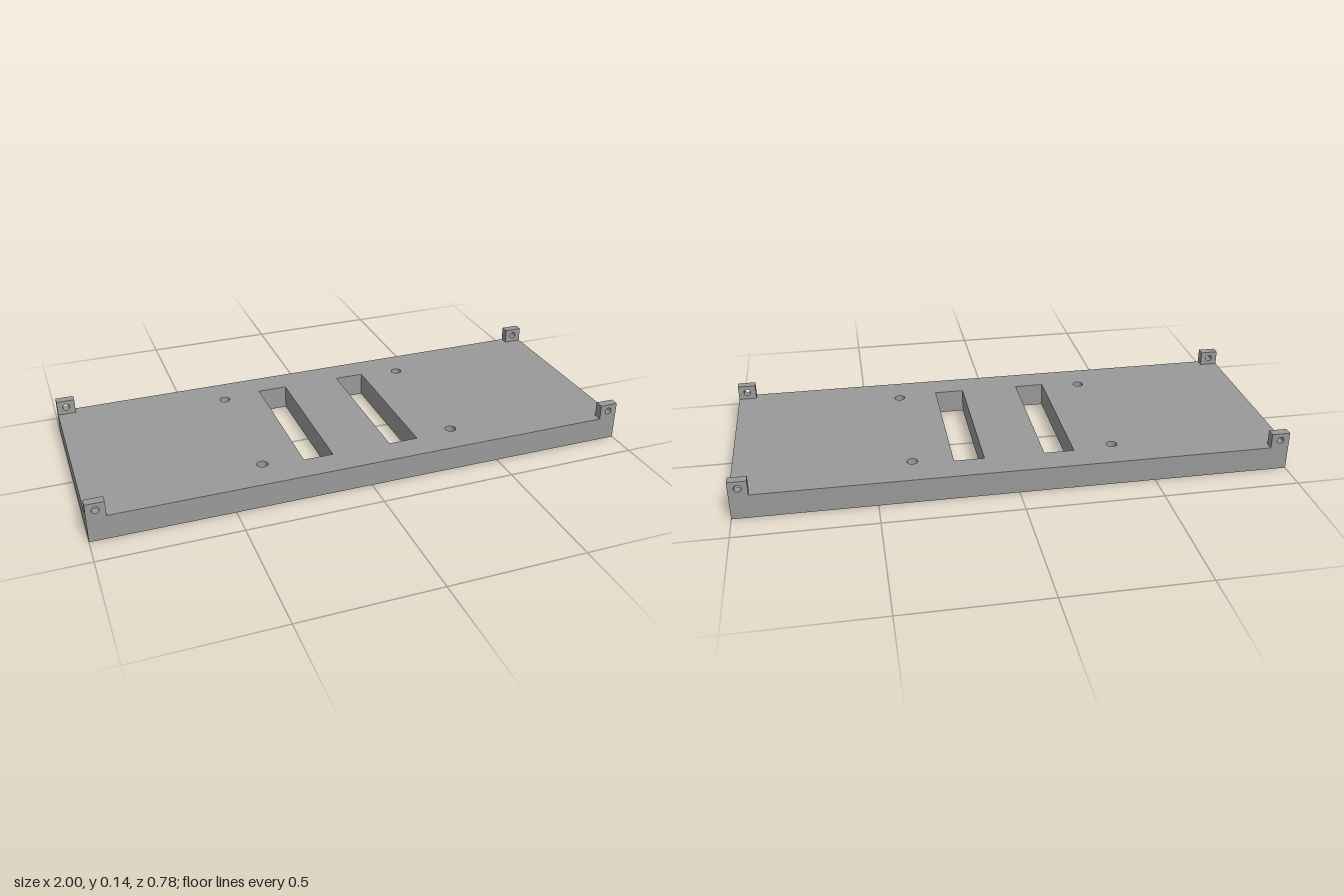
import * as THREE from 'three';
import { mergeGeometries, toCreasedNormals } from 'three/addons/utils/BufferGeometryUtils.js';

const HALF_W = 1, HALF_D = 0.388, THICK = 0.09;
const TAB_W = 0.067, TAB_D = 0.033, TAB_H = 0.055;
const HOLE_R = 0.02, HOLE_DEPTH = 0.05;

function rect(Type, x0, x1, y0, y1) {
  return new Type([[x0, y0], [x1, y0], [x1, y1], [x0, y1]].map(([x, y]) => new THREE.Vector2(x, y)));
}

function circlePath(x, y, r) {
  return new THREE.Path().absarc(x, y, r, 0, Math.PI * 2, true);
}

// Rectangular outline with the two long slots and any round holes cut out
function plateShape(holes) {
  const shape = rect(THREE.Shape, -HALF_W, HALF_W, -HALF_D, HALF_D);
  shape.holes.push(rect(THREE.Path, -0.22, -0.11, -0.28, 0.28), rect(THREE.Path, 0.11, 0.22, -0.28, 0.28));
  for (const [x, z] of holes) shape.holes.push(circlePath(x, z, HOLE_R));
  return shape;
}

// Extruded walls without the end caps
function walls(shape, depth) {
  const full = new THREE.ExtrudeGeometry(shape, { depth, bevelEnabled: false });
  const { start } = full.groups[1];
  const geo = new THREE.BufferGeometry();
  for (const name of ['position', 'normal', 'uv']) {
    const a = full.attributes[name];
    geo.setAttribute(name, new THREE.BufferAttribute(a.array.slice(start * a.itemSize), a.itemSize));
  }
  return geo;
}

// Inward-facing lining and floor of a blind hole
function wellGeometry() {
  const profile = [[HOLE_R, 0], [HOLE_R, -HOLE_DEPTH], [0, -HOLE_DEPTH]].map(([x, y]) => new THREE.Vector2(x, y));
  return toCreasedNormals(new THREE.LatheGeometry(profile, 24), 0.6);
}

export function createModel() {
  const model = new THREE.Group();
  model.name = 'mountingPlate';
  const grey = new THREE.MeshStandardMaterial({ color: 0x999999 });
  grey.name = 'grey';

  const add = (name, geometry) => {
    const mesh = new THREE.Mesh(geometry, grey);
    mesh.name = name;
    model.add(mesh);
    return mesh;
  };

  // Hole centres: four on the top, a square of four near each end underneath
  const topHoles = [], bottomHoles = [];
  for (const sx of [-1, 1]) for (const sz of [-1, 1]) {
    topHoles.push([sx * 0.367, sz * 0.258]);
    for (const x of [0.78, 0.935]) bottomHoles.push([sx * x, sz * 0.085]);
  }

  // Plate: outer and slot walls, top face and underside
  const top = new THREE.ShapeGeometry(plateShape(topHoles)).toNonIndexed();
  const bottom = new THREE.ShapeGeometry(plateShape(bottomHoles)).toNonIndexed();
  add('plate', mergeGeometries([
    walls(plateShape([]), THICK).rotateX(-Math.PI / 2),
    top.rotateX(-Math.PI / 2).translate(0, THICK, 0),
    bottom.rotateX(Math.PI / 2),
  ]));

  // Blind screw holes
  const well = wellGeometry();
  for (const [x, z] of topHoles) add('topHole', well).position.set(x, THICK, z);
  for (const [x, z] of bottomHoles) {
    const hole = add('bottomHole', well);
    hole.position.set(x, 0, z);
    hole.rotation.x = Math.PI;
  }

  // Corner tabs, each drilled front to back
  const tabShape = rect(THREE.Shape, -TAB_W / 2, TAB_W / 2, 0, TAB_H);
  tabShape.holes.push(circlePath(0, 0.028, 0.013));
  const tab = toCreasedNormals(
    new THREE.ExtrudeGeometry(tabShape, { depth: TAB_D, bevelEnabled: false }).translate(0, 0, -TAB_D / 2), 0.6);
  for (const sx of [-1, 1]) for (const sz of [-1, 1]) {
    add('cornerTab', tab).position.set(sx * (HALF_W - TAB_W / 2), THICK, sz * (HALF_D - TAB_D / 2));
  }

  return model;
}
